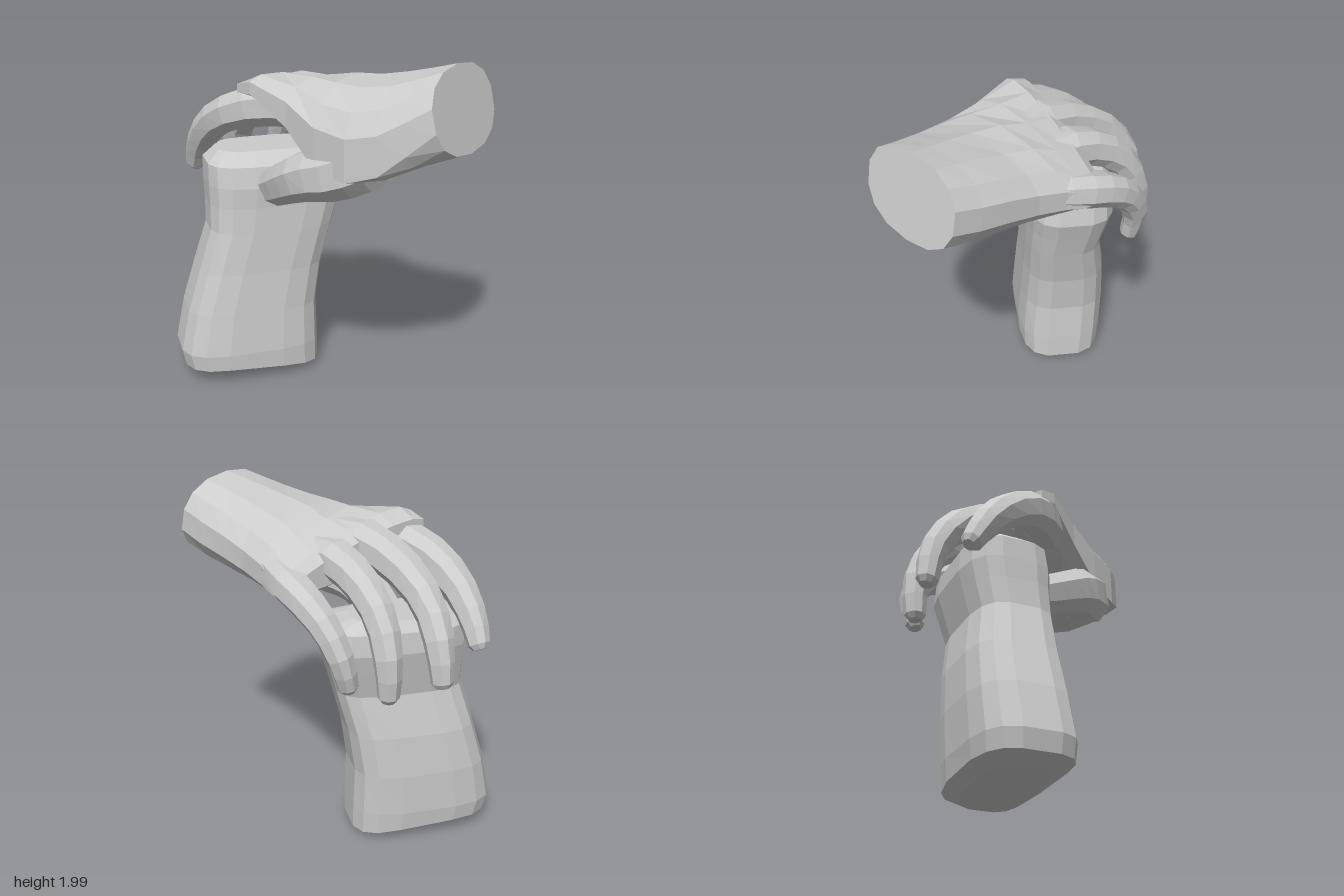
import * as THREE from 'three';

const material = new THREE.MeshStandardMaterial({ color: 0xcccccc, flatShading: true });
const V = (x, y, z) => new THREE.Vector3(x, y, z);

// Closed skin through equal-length rings of points, capped at both ends
function loft(name, rings) {
  const n = rings[0].length, tris = [];
  const centre = r => r.reduce((s, p) => s.add(p), V(0, 0, 0)).divideScalar(n);
  const first = rings[0], last = rings[rings.length - 1];
  const c0 = centre(first), c1 = centre(last);
  for (let j = 0; j < n; j++) {
    const k = (j + 1) % n;
    for (let i = 0; i < rings.length - 1; i++) {
      const a = rings[i], b = rings[i + 1];
      tris.push([a[j], a[k], b[k]], [a[j], b[k], b[j]]);
    }
    tris.push([c0, first[k], first[j]], [c1, last[j], last[k]]);
  }
  // face outwards whichever way the rings run
  const volume = tris.reduce((s, [a, b, c]) => s + a.dot(b.clone().cross(c)), 0);
  if (volume < 0) tris.forEach(t => t.reverse());
  const geometry = new THREE.BufferGeometry().setFromPoints(tris.flat());
  geometry.computeVertexNormals();
  const mesh = new THREE.Mesh(geometry, material);
  mesh.name = name;
  return mesh;
}

// Unit superellipse: e = 2 is round, larger is squarer
function superellipse(n, e) {
  return Array.from({ length: n }, (_, i) => {
    const t = (i + 0.5) / n * Math.PI * 2, c = Math.cos(t), s = Math.sin(t);
    return [Math.sign(c) * Math.abs(c) ** (2 / e), Math.sign(s) * Math.abs(s) ** (2 / e)];
  });
}

// Tapered finger through stations [x, y, z, radius], with a blunt rounded tip
function finger(name, stations, steps = 9, sides = 8) {
  const curve = new THREE.CatmullRomCurve3(stations.map(s => V(s[0], s[1], s[2])));
  const rings = [], last = stations.length - 1;
  const side = V(0, 0, 1);
  const ring = (t, scale, push) => {
    const f = t * last, i = Math.min(Math.floor(f), last - 1);
    const r = THREE.MathUtils.lerp(stations[i][3], stations[i + 1][3], f - i) * scale;
    const dir = curve.getTangent(t);
    const w = side.clone().addScaledVector(dir, -side.dot(dir)).normalize();
    const h = dir.clone().cross(w);
    const c = curve.getPoint(t).addScaledVector(dir, push);
    return superellipse(sides, 2.3).map(([a, b]) =>
      c.clone().addScaledVector(w, a * r).addScaledVector(h, b * r));
  };
  for (let i = 0; i <= steps; i++) rings.push(ring(i / steps, 1, 0));
  rings.push(ring(1, 0.62, stations[last][3] * 0.5));
  return loft(name, rings);
}

// Upright block set diagonally: rings of [y, centre x, centre z, half length, half width]
function makeBlock() {
  const levels = [
    [0.05, -0.43, 0.13, 0.31, 0.18], [0.09, -0.465, 0.15, 0.415, 0.26],
    [0.2, -0.475, 0.155, 0.425, 0.27], [0.45, -0.465, 0.13, 0.395, 0.265],
    [0.7, -0.425, 0.09, 0.375, 0.25], [0.95, -0.36, 0.055, 0.37, 0.225],
    [1.1, -0.355, 0.025, 0.39, 0.24], [1.22, -0.35, 0.005, 0.41, 0.255],
    [1.34, -0.36, 0.005, 0.4, 0.24], [1.4, -0.41, 0, 0.29, 0.16],
  ];
  const outline = superellipse(16, 3.4), d = Math.SQRT1_2;
  return loft('block', levels.map(([y, x, z, a, b]) => outline.map(([p, q]) => {
    const u = p * a, v = q * b;
    // underside sags towards the back corner
    const sag = y < 0.1 ? 0.05 * Math.max(0, p) - 0.01 : 0;
    return V(x + (u + v) * d, y - sag, z + (v - u) * d);
  })));
}

// Wrist and palm: [x, top y, bottom y, back z, front z, lean of top, skew along z, roll, droop of thumb side]
function makePalm() {
  const sections = [
    [0.845, 2.0, 1.54, -0.24, 0.41, -0.05, -0.09, 0, 0],
    [0.7, 1.965, 1.5, -0.28, 0.47, -0.04, -0.05, 0.02, 0.07],
    [0.55, 1.935, 1.48, -0.32, 0.52, -0.02, 0, 0.05, 0.15],
    [0.38, 1.905, 1.47, -0.36, 0.535, 0, 0, 0.1, 0.2],
    [0.2, 1.885, 1.48, -0.42, 0.49, 0, -0.03, 0.17, 0.2],
    [0.05, 1.85, 1.51, -0.47, 0.42, 0, -0.12, 0.24, 0.08],
    [-0.11, 1.82, 1.56, -0.5, 0.38, 0, -0.26, 0.29, 0],
    [-0.2, 1.77, 1.61, -0.45, 0.34, 0, -0.32, 0.28, 0],
  ];
  const outline = superellipse(14, 2.3);
  return loft('palm', sections.map(([x, top, bottom, z0, z1, lean, skew, roll, droop]) =>
    outline.map(([p, q]) => {
      const dz = p * (z1 - z0) / 2;
      const drop = droop * Math.max(0, p) ** 2 * (q < 0 ? 1.3 : 0.7);
      return V(x + q * lean + dz * skew * 1.4,
        (top + bottom) / 2 + q * (top - bottom) / 2 + dz * roll - drop, (z0 + z1) / 2 + dz);
    })));
}

export function createModel() {
  const model = new THREE.Group();
  model.name = 'handOnBlock';
  const hand = new THREE.Group();
  hand.name = 'hand';
  hand.add(makePalm());

  // Fingers from knuckle to tip
  const fingers = {
    indexFinger: [[0.15, 1.69, 0.23, 0.11], [-0.12, 1.725, 0.26, 0.125], [-0.4, 1.665, 0.27, 0.112],
      [-0.62, 1.55, 0.215, 0.098], [-0.77, 1.39, 0.145, 0.08], [-0.842, 1.25, 0.1, 0.06]],
    middleFinger: [[0.15, 1.72, 0.06, 0.11], [-0.12, 1.745, 0.045, 0.12], [-0.4, 1.66, -0.015, 0.108],
      [-0.62, 1.51, -0.1, 0.09], [-0.73, 1.32, -0.17, 0.078], [-0.765, 1.12, -0.185, 0.06]],
    ringFinger: [[0.15, 1.68, -0.1, 0.1], [-0.08, 1.69, -0.17, 0.112], [-0.3, 1.61, -0.25, 0.1],
      [-0.46, 1.46, -0.32, 0.088], [-0.535, 1.25, -0.365, 0.075], [-0.54, 1.05, -0.36, 0.058]],
    littleFinger: [[0.26, 1.64, -0.28, 0.09], [0.06, 1.59, -0.4, 0.1], [-0.1, 1.53, -0.465, 0.094],
      [-0.24, 1.42, -0.495, 0.08], [-0.33, 1.26, -0.495, 0.069], [-0.35, 1.1, -0.455, 0.054]],
    thumb: [[0.55, 1.57, 0.28, 0.13], [0.42, 1.5, 0.34, 0.16], [0.26, 1.43, 0.365, 0.16],
      [0.1, 1.385, 0.365, 0.142], [-0.05, 1.315, 0.315, 0.125], [-0.19, 1.24, 0.24, 0.113]],
  };
  for (const [name, stations] of Object.entries(fingers)) hand.add(finger(name, stations));

  model.add(makeBlock(), hand);
  return model;
}
